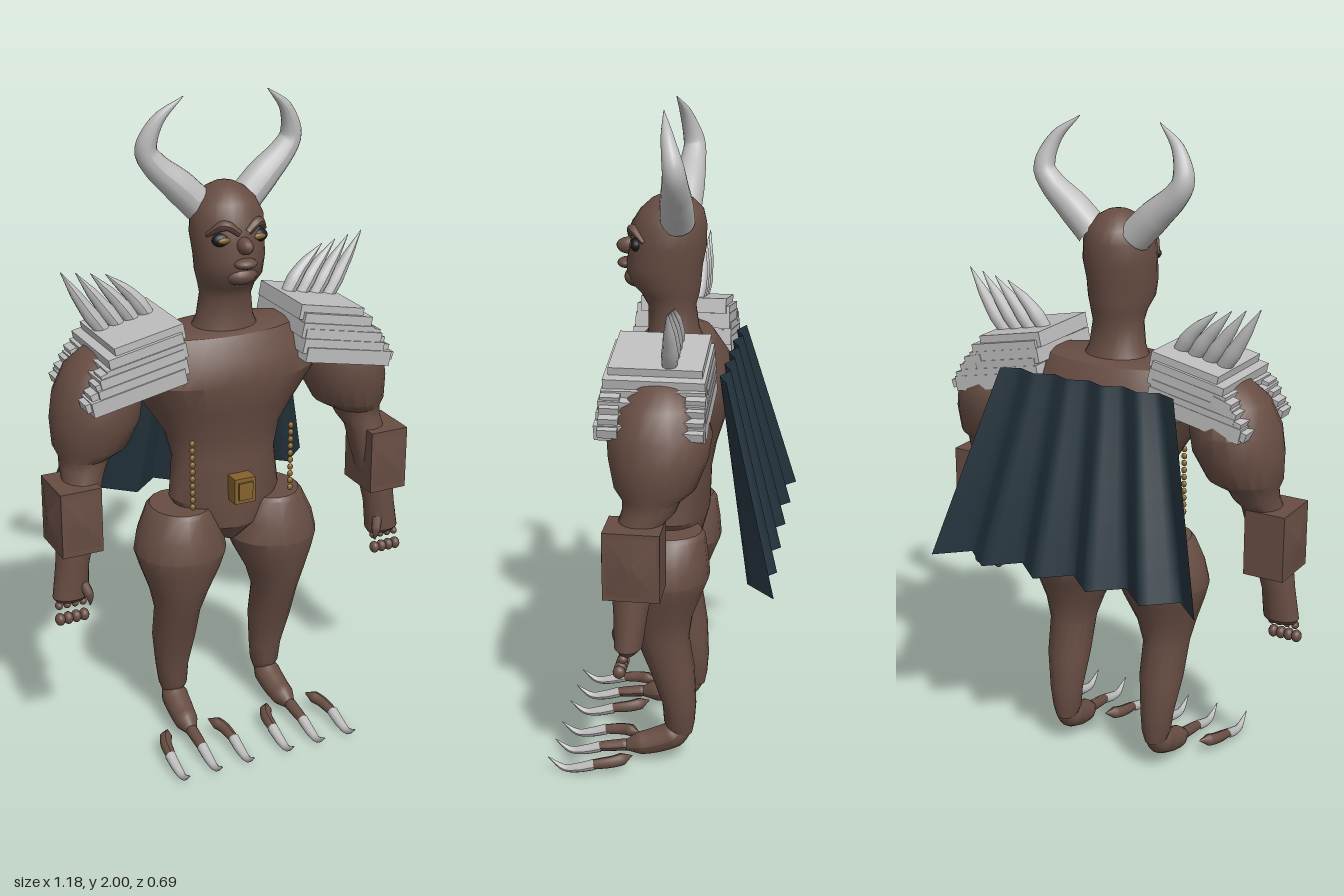
import * as THREE from 'three';
import { toCreasedNormals } from 'three/addons/utils/BufferGeometryUtils.js';

const mat = (name, color, side = THREE.FrontSide) => {
  const m = new THREE.MeshStandardMaterial({ color, side });
  m.name = name;
  return m;
};

export function createModel() {
  const skin = mat('brown hide', 0x674d43);
  const bone = mat('pale bone', 0xbdbdbd);
  const cloth = mat('dark cloth', 0x24333d, THREE.DoubleSide);
  const gold = mat('old gold', 0x84622c);
  const dark = mat('eye socket', 0x1b1c20);
  const root = new THREE.Group();
  root.name = 'hornedWarrior';

  const add = (name, geo, material, pos = [0, 0, 0], scale = [1, 1, 1]) => {
    const m = new THREE.Mesh(geo, material);
    m.name = name;
    m.position.set(...pos);
    m.scale.set(...scale);
    root.add(m);
    return m;
  };

  // Closed skin over horizontal ellipses [x, y, z, rx, rz], listed bottom to top
  const loft = (rings, sides = 20, crease = 0.6) => {
    const pos = [], idx = [], n = rings.length;
    for (const [x, y, z, rx, rz] of rings)
      for (let j = 0; j < sides; j++) {
        const a = (j / sides) * Math.PI * 2;
        pos.push(x + Math.cos(a) * rx, y, z + Math.sin(a) * rz);
      }
    for (const r of [rings[0], rings[n - 1]]) pos.push(r[0], r[1], r[2]);
    for (let j = 0; j < sides; j++) {
      const k = (j + 1) % sides;
      for (let i = 0; i < n - 1; i++) {
        const a = i * sides, b = a + sides;
        idx.push(a + j, b + j, a + k, a + k, b + j, b + k);
      }
      const top = (n - 1) * sides;
      idx.push(n * sides, j, k, n * sides + 1, top + k, top + j);
    }
    const g = new THREE.BufferGeometry();
    g.setAttribute('position', new THREE.Float32BufferAttribute(pos, 3));
    g.setIndex(idx);
    return toCreasedNormals(g, crease);
  };

  // Tube along points, with a radius given at each point
  const taper = (points, radii, sides = 12, seg = 20) => {
    const curve = new THREE.CatmullRomCurve3(points.map(p => new THREE.Vector3(...p)));
    const g = new THREE.TubeGeometry(curve, seg, 1, sides);
    const p = g.attributes.position, v = new THREE.Vector3();
    for (let i = 0; i < p.count; i++) {
      const t = Math.floor(i / (sides + 1)) / seg;
      const f = t * (radii.length - 1), k = Math.min(Math.floor(f), radii.length - 2);
      const c = curve.getPointAt(t);
      v.fromBufferAttribute(p, i).sub(c).multiplyScalar(THREE.MathUtils.lerp(radii[k], radii[k + 1], f - k)).add(c);
      p.setXYZ(i, v.x, v.y, v.z);
    }
    g.computeVertexNormals();
    return g;
  };
  const ball = new THREE.SphereGeometry(1, 16, 12);

  // Torso and pelvis
  add('torso', loft([
    [0, 0.645, 0, 0.03, 0.05], [0, 0.70, 0, 0.12, 0.09], [0, 0.79, -0.01, 0.178, 0.105],
    [0, 0.92, -0.015, 0.165, 0.105], [0, 1.0, -0.02, 0.185, 0.115], [0, 1.08, -0.02, 0.235, 0.14],
    [0, 1.18, -0.018, 0.305, 0.163], [0, 1.25, -0.018, 0.29, 0.15],
    [0, 1.315, -0.015, 0.235, 0.11], [0, 1.325, -0.015, 0.2, 0.09],
  ], 28, 0.5), skin);

  // Head and neck
  add('head', loft([
    [0, 1.30, -0.01, 0.11, 0.09], [0, 1.35, -0.005, 0.086, 0.075], [0, 1.42, 0, 0.077, 0.07],
    [0, 1.455, 0.005, 0.084, 0.085], [0, 1.49, 0.02, 0.097, 0.105], [0, 1.54, 0.023, 0.102, 0.112],
    [0, 1.60, 0.01, 0.108, 0.111], [0, 1.66, 0.008, 0.105, 0.109], [0, 1.70, 0, 0.088, 0.092],
    [0, 1.73, -0.002, 0.058, 0.062], [0, 1.745, -0.003, 0.03, 0.032], [0, 1.75, -0.003, 0.005, 0.005],
  ], 24, 1.2), skin);
  add('nose', ball, skin, [0, 1.59, 0.125], [0.022, 0.025, 0.038]);
  add('lips', ball, skin, [0, 1.54, 0.132], [0.035, 0.016, 0.028]);
  add('chin', ball, skin, [0, 1.5, 0.1], [0.05, 0.03, 0.04]);

  // Belt buckle
  add('buckle', new THREE.BoxGeometry(0.068, 0.08, 0.06), gold, [0, 0.84, 0.108]);
  add('buckleFace', new THREE.BoxGeometry(0.045, 0.055, 0.008), gold, [0, 0.84, 0.141]);

  // Pleated cape
  const cape = new THREE.PlaneGeometry(2, 1, 40, 6);
  const cp = cape.attributes.position;
  for (let i = 0; i < cp.count; i++) {
    const u = cp.getX(i), d = 0.5 - cp.getY(i);
    const fold = Math.acos(Math.cos(u * Math.PI * 5)) / Math.PI;
    cp.setXYZ(i, u * (0.29 + 0.16 * d), 1.28 - 0.575 * d,
      -0.167 - 0.093 * d - fold * (0.025 + 0.055 * d) - 0.008 * d * u * u);
  }
  cape.computeVertexNormals();
  add('cape', cape, cloth);

  for (const s of [1, -1]) {
    const side = s > 0 ? 'left' : 'right';
    const put = (name, ...rest) => add(side + name, ...rest);
    const flip = rings => rings.map(([x, ...r]) => [s * x, ...r]);

    // Horn
    put('Horn', taper(flip([
      [0.07, 1.68, -0.025], [0.135, 1.745, -0.03], [0.2, 1.805, -0.035],
      [0.227, 1.85, -0.035], [0.2, 1.935, -0.015], [0.13, 2.0, 0.005],
    ]), [0.05, 0.048, 0.039, 0.03, 0.017, 0.001], 16, 28), bone);

    // Eye and brow
    put('EyeSocket', ball, dark, [s * 0.057, 1.607, 0.095], [0.03, 0.02, 0.018]);
    put('Eye', ball, gold, [s * 0.055, 1.607, 0.108], [0.02, 0.009, 0.008]);
    put('Brow', taper(flip([[0.012, 1.625, 0.118], [0.05, 1.65, 0.108], [0.092, 1.618, 0.068]]),
      [0.01, 0.015, 0.006], 8), skin);

    // Arm
    put('Arm', loft(flip([
      [0.53, 0.56, 0.05, 0.045, 0.025], [0.53, 0.575, 0.05, 0.055, 0.04], [0.52, 0.67, 0.045, 0.05, 0.048],
      [0.505, 0.76, 0.04, 0.055, 0.06], [0.47, 0.93, 0.02, 0.06, 0.065], [0.46, 0.96, 0.0, 0.068, 0.075],
      [0.452, 0.99, -0.005, 0.075, 0.082], [0.43, 1.02, -0.012, 0.11, 0.115], [0.41, 1.1, -0.018, 0.132, 0.14],
      [0.4, 1.17, -0.02, 0.13, 0.148], [0.385, 1.25, -0.02, 0.11, 0.118],
      [0.37, 1.3, -0.02, 0.07, 0.07], [0.36, 1.32, -0.02, 0.02, 0.02],
    ]), 20, 0.6), skin);

    // Gauntlet with raised facets on the outer and front faces
    put('Gauntlet', new THREE.BoxGeometry(0.125, 0.2, 0.16), skin, [s * 0.51, 0.83, 0.035]);
    const facet = new THREE.CylinderGeometry(0.08, 0.7071, 1, 4).rotateY(Math.PI / 4);
    put('GauntletPlate', facet, skin, [s * 0.579, 0.83, 0.035], [0.18, 0.014, 0.145]).rotation.z = -s * Math.PI / 2;
    put('GauntletFront', facet, skin, [s * 0.51, 0.83, 0.12], [0.115, 0.012, 0.18]).rotation.x = Math.PI / 2;

    // Fingers, in separate joints, and thumb
    for (let f = 0; f < 4; f++) {
      const x = s * (0.497 + f * 0.025);
      put('Knuckle', ball, skin, [x, 0.552, 0.06], [0.011, 0.012, 0.014]);
      put('Finger', ball, skin, [x + s * 0.001, 0.512, 0.07], [0.015, 0.019, 0.018]);
    }
    put('Thumb', taper(flip([[0.5, 0.62, 0.075], [0.487, 0.58, 0.092], [0.485, 0.55, 0.09]]), [0.016, 0.015, 0.002], 8), skin);

    // Layered shoulder guard
    for (let i = 0; i < 6; i++) {
      const w = 0.215 + 0.015 * i, tilt = -s * 0.2;
      const plate = put('ShoulderPlate', new THREE.BoxGeometry(w, 0.045, 0.26 + (i ? 0.016 + 0.006 * i : 0)),
        bone, [s * (0.183 + w / 2 + (i % 2) * 0.008), 1.345 - 0.026 * i, -0.008 + 0.001 * i]);
      plate.rotation.z = tilt;
      plate.rotation.x = i ? 0.02 * (i % 3 - 1) : 0;
      // Splintered lips at the front and back
      if (i > 1) for (const z of [-0.125, 0.11]) {
        put('ShoulderSplinter', new THREE.BoxGeometry(0.06, 0.026, 0.055), bone,
          [s * (0.385 + 0.016 * i), 1.325 - 0.026 * i, z]).rotation.z = -s * 0.3;
      }
    }

    // Shoulder spikes
    for (let i = 0; i < 4; i++) {
      const x = 0.215 + 0.045 * i, y = 1.37 - 0.01 * i;
      put('ShoulderSpike', taper(flip([
        [x, y - 0.02, -0.04], [x + 0.055, y + 0.06, -0.05], [x + 0.135, 1.505 + 0.008 * i, -0.055],
      ]), [0.02, 0.024, 0.016, 0.001], 10, 12), bone);
    }

    // Hanging chain of beads
    for (let i = 0; i < 10; i++)
      put('ChainBead', ball, gold, [s * 0.162, 0.81 + i * 0.0225, 0.115], [0.009, 0.01, 0.007]);

    // Leg
    put('Leg', loft(flip([
      [0.163, 0.10, -0.05, 0.032, 0.035], [0.163, 0.135, -0.045, 0.045, 0.047], [0.165, 0.2, -0.045, 0.052, 0.052],
      [0.167, 0.32, -0.022, 0.068, 0.07], [0.168, 0.43, 0.008, 0.07, 0.083], [0.165, 0.5, 0.015, 0.09, 0.1],
      [0.158, 0.58, 0.01, 0.125, 0.125], [0.155, 0.63, 0.005, 0.142, 0.14], [0.155, 0.69, 0, 0.13, 0.13],
      [0.152, 0.76, -0.005, 0.1, 0.115], [0.15, 0.772, -0.005, 0.09, 0.105],
    ]), 18, 0.5), skin);

    // Foot
    put('Foot', taper(flip([
      [0.165, 0.13, -0.065], [0.165, 0.095, -0.035], [0.168, 0.065, 0.03], [0.172, 0.05, 0.09], [0.174, 0.04, 0.13],
    ]), [0.025, 0.042, 0.04, 0.036, 0.012], 14), skin);

    // Three toes with curved claws
    for (const k of [-1, 0, 1]) {
      const a = 0.174 + k * 0.07, b = 0.176 + k * 0.108;
      put('Toe', taper(flip([[a, 0.05, 0.09], [a + k * 0.028, 0.042, 0.14], [b, 0.032, 0.21]]),
        [0.001, 0.019, 0.018, 0.017, 0.014], 10, 12), skin);
      put('Claw', taper(flip([[b, 0.033, 0.2], [b, 0.018, 0.25], [b, 0.014, 0.295], [b, 0.048, 0.345]]),
        [0.017, 0.015, 0.01, 0.001], 10, 14), bone);
    }
  }
  return root;
}
